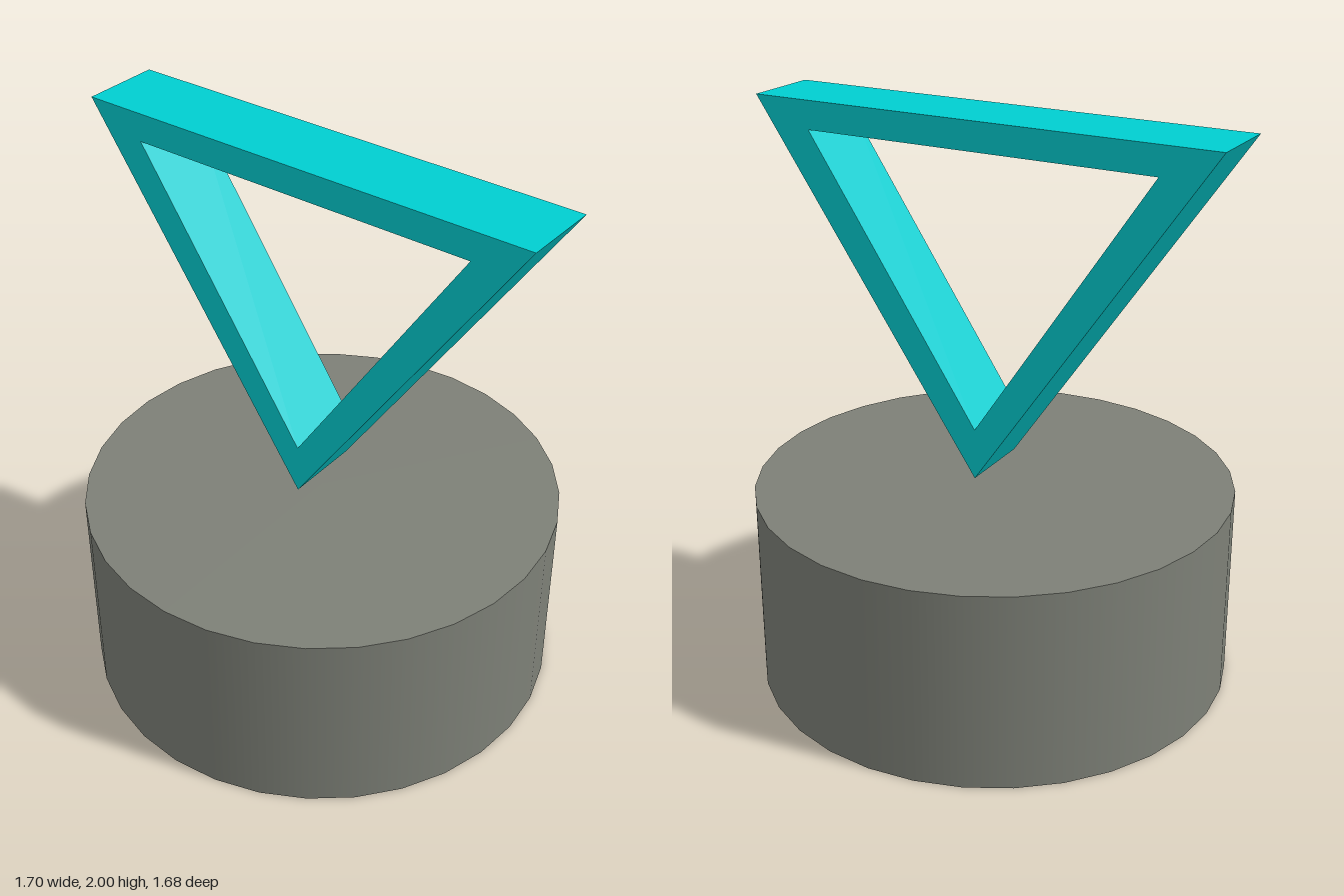
import * as THREE from 'three';

const triangle = (Type, halfWidth, top, tip) =>
  new Type([[-halfWidth, top], [0, tip], [halfWidth, top]].map(([x, y]) => new THREE.Vector2(x, y)));

export function createModel() {
  const model = new THREE.Group();

  // Round pedestal, smooth around its side
  const baseHeight = 0.7;
  const base = new THREE.Mesh(
    new THREE.CylinderGeometry(0.84, 0.84, baseHeight, 32),
    new THREE.MeshStandardMaterial({ color: 0x7d8077 })
  );
  base.name = 'pedestal';
  base.position.y = baseHeight / 2;
  model.add(base);

  // Hollow triangle floating point-down above the pedestal
  const depth = 0.28;
  const outline = triangle(THREE.Shape, 0.85, 2, 0.76);
  outline.holes.push(triangle(THREE.Path, 0.64, 1.9, 0.94));
  const frame = new THREE.Mesh(
    new THREE.ExtrudeGeometry(outline, { depth, bevelEnabled: false }),
    new THREE.MeshStandardMaterial({ color: 0x00ced1 })
  );
  frame.name = 'triangleFrame';
  frame.position.z = -depth / 2;
  model.add(frame);

  return model;
}
